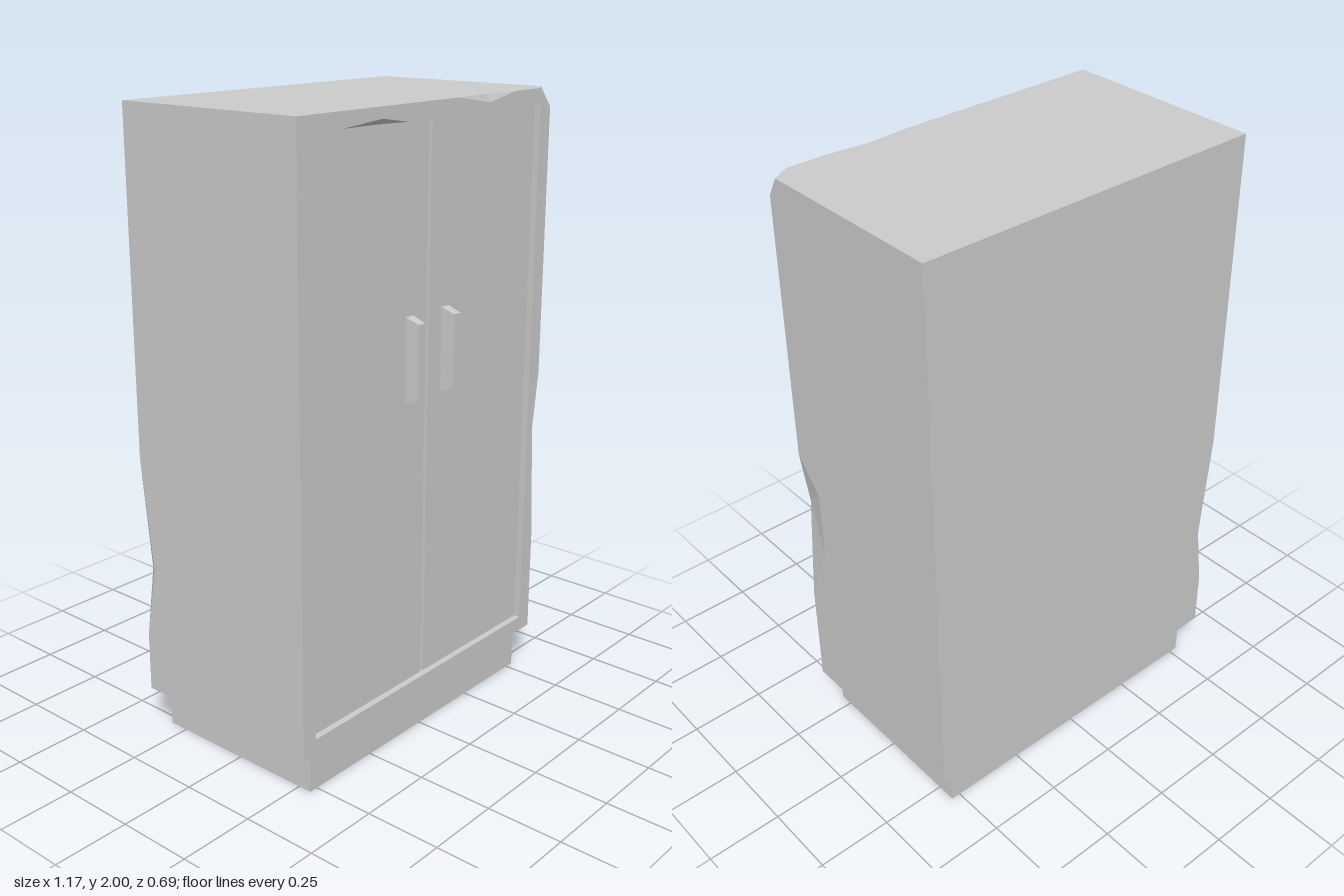
import * as THREE from 'three';

const X = 0.585, Y0 = 0.14, Y1 = 2, ZB = -0.347, ZF = 0.321; // carcass extents
const OX = 0.53, OY0 = 0.19, OY1 = 1.95;                     // door opening
const DOOR_Z = 0.3, INNER_Z = 0.265;

// Collects flat faces; each triangle is wound away from (or towards) the carcass middle
function faceBuilder() {
  const positions = [];
  const middle = new THREE.Vector3(0, 1.07, 0);
  const tri = (a, b, c, inward = false) => {
    const [p, q, r] = [a, b, c].map(v => new THREE.Vector3(...v));
    const normal = q.clone().sub(p).cross(r.clone().sub(p));
    const out = p.clone().add(q).add(r).divideScalar(3).sub(middle);
    const keep = (normal.dot(out) > 0) !== inward;
    positions.push(...a, ...(keep ? b : c), ...(keep ? c : b));
  };
  // Planar polygon, triangulated after dropping one axis
  const polygon = (axis, outline, holes = []) => {
    const flat = loop => loop.map(p => new THREE.Vector2(...p.filter((_, i) => i !== axis)));
    const all = [outline, ...holes].flat();
    for (const [a, b, c] of THREE.ShapeUtils.triangulateShape(flat(outline), holes.map(flat))) {
      tri(all[a], all[b], all[c]);
    }
  };
  const build = () => {
    const g = new THREE.BufferGeometry();
    g.setAttribute('position', new THREE.Float32BufferAttribute(positions, 3));
    g.computeVertexNormals();
    return g;
  };
  return { tri, polygon, build };
}

function carcassGeometry() {
  const { tri, polygon, build } = faceBuilder();

  // Broken top corner
  const cornerTop = [0.525, Y1, ZF], cornerSide = [X, Y1, 0.285], cornerFront = [X, 1.94, ZF];
  // Dent in the top front edge
  const topL = [0.1, Y1, ZF], topR = [0.39, Y1, ZF], topIn = [0.26, Y1, 0.31], topDown = [0.26, 1.975, ZF];
  // Dent in the front vertical edge
  const sideT = [X, 1.07, ZF], sideB = [X, 0.5, ZF], sideIn = [0.56, 0.88, ZF];
  const sideZ1 = [X, 0.96, 0.228], sideZ2 = [X, 0.73, 0.228];
  // Dent in the rear vertical edge
  const rearT = [-X, 0.93, ZB], rearB = [-X, 0.33, ZB], rearX = [-X + 0.032, 0.555, ZB], rearZ = [-X, 0.57, ZB + 0.043];

  // Door opening, with a chip in its top lip
  const opening = [
    [-OX, OY0, ZF], [OX, OY0, ZF], [OX, OY1, ZF], [-0.13, OY1, ZF],
    [-0.24, 1.967, ZF], [-0.45, OY1, ZF], [-OX, OY1, ZF],
  ];

  // Front frame
  polygon(2, [[-X, Y0, ZF], [X, Y0, ZF], sideB, sideIn, sideT, cornerFront, cornerTop,
    topR, topDown, topL, [-X, Y1, ZF]], [opening]);
  // Top and bottom
  polygon(1, [[-X, Y1, ZB], [X, Y1, ZB], cornerSide, cornerTop, topR, topIn, topL, [-X, Y1, ZF]]);
  polygon(1, [[-X, Y0, ZB], [X, Y0, ZB], [X, Y0, ZF], [-X, Y0, ZF]]);
  // Sides
  polygon(0, [[X, Y0, ZB], [X, Y1, ZB], cornerSide, cornerFront, sideT, sideZ1, sideZ2, sideB, [X, Y0, ZF]]);
  polygon(0, [[-X, Y0, ZF], [-X, Y1, ZF], [-X, Y1, ZB], rearT, rearZ, rearB, [-X, Y0, ZB]]);
  // Back
  polygon(2, [[X, Y0, ZB], [X, Y1, ZB], [-X, Y1, ZB], rearT, rearX, rearB, [-X, Y0, ZB]]);

  // Facets inside the chips
  tri(cornerTop, cornerSide, cornerFront);
  tri(topL, topIn, topDown);
  tri(topR, topIn, topDown);
  tri(sideT, sideIn, sideZ1);
  tri(sideZ1, sideIn, sideZ2);
  tri(sideZ2, sideIn, sideB);
  tri(rearT, rearX, rearZ);
  tri(rearB, rearX, rearZ);

  // Reveal walls of the opening, and the inner panel seen through the door gap
  const atDepth = (p, z) => [p[0], Math.min(p[1], OY1), z];
  opening.forEach((a, i) => {
    const b = opening[(i + 1) % opening.length];
    const a1 = atDepth(a, DOOR_Z), b1 = atDepth(b, DOOR_Z);
    tri(a, b, b1, true);
    tri(a, b1, a1, true);
  });
  polygon(2, [[-OX, OY0, INNER_Z], [OX, OY0, INNER_Z], [OX, OY1, INNER_Z], [-OX, OY1, INNER_Z]]);
  return build();
}

// Handle: a bar that narrows towards its front
function handleGeometry() {
  const g = new THREE.BoxGeometry(0.034, 0.265, 0.047);
  const p = g.attributes.position;
  for (let i = 0; i < p.count; i++) {
    if (p.getZ(i) > 0) p.setXY(i, p.getX(i) * 0.86, p.getY(i) * 0.88);
  }
  g.computeVertexNormals();
  return g;
}

export function createModel() {
  const model = new THREE.Group();
  model.name = 'cabinet';
  const material = new THREE.MeshStandardMaterial({ color: 0xcccccc, flatShading: true });

  const add = (name, geometry, x, y, z) => {
    const mesh = new THREE.Mesh(geometry, material);
    mesh.name = name;
    mesh.position.set(x, y, z);
    model.add(mesh);
  };

  add('carcass', carcassGeometry(), 0, 0, 0);
  add('plinth', new THREE.BoxGeometry(2 * OX, Y0, 0.61), 0, Y0 / 2, -0.01);

  // Pair of doors with handles
  const gap = 0.007, thickness = DOOR_Z - INNER_Z;
  for (const [side, s] of [['left', 1], ['right', -1]]) {
    add(side + 'Door', new THREE.BoxGeometry(OX - gap, OY1 - OY0, thickness),
      s * (OX + gap) / 2, (OY0 + OY1) / 2, DOOR_Z - thickness / 2);
    add(side + 'Handle', handleGeometry(), s * 0.086, 1.253, 0.3235);
  }
  return model;
}
